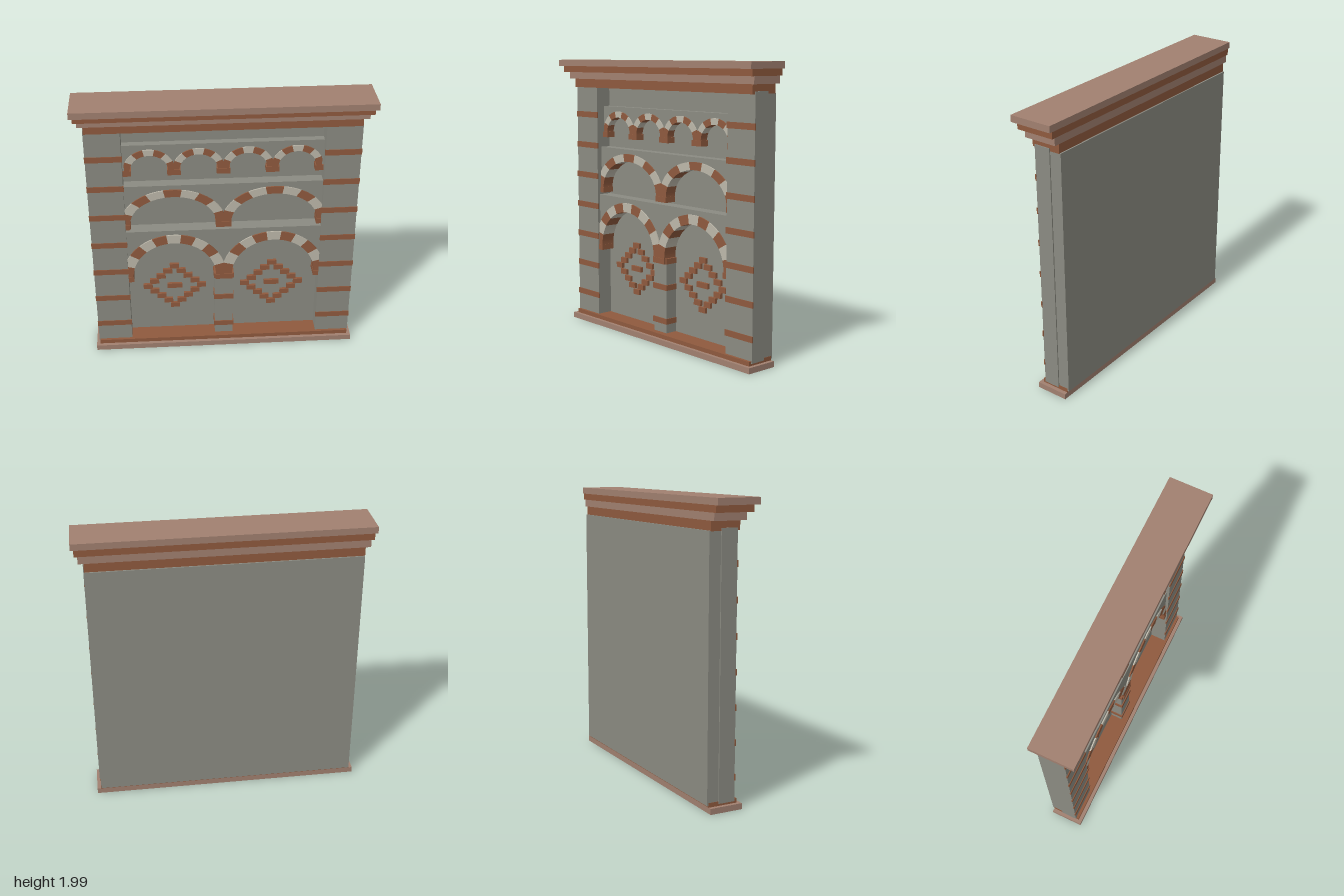
import * as THREE from 'three';

const mat = (name, color) => {
  const m = new THREE.MeshStandardMaterial({ color });
  m.name = name;
  return m;
};

export function createModel() {
  const model = new THREE.Group();
  model.name = 'arcadedWall';
  const grey = mat('greyPlaster', 0x8b8b82);
  const brick = mat('redBrick', 0x8f5a3e);
  const stone = mat('pinkStone', 0xa18070);
  const pale = mat('paleStone', 0xbdb8aa);

  const WALL = -0.075; // front face of the recessed wall
  const BACK = -0.147; // back of cornice and plinth

  // Box given by its limits on each axis
  const box = (name, m, x0, x1, y0, y1, z0, z1, parent = model) => {
    const mesh = new THREE.Mesh(new THREE.BoxGeometry(x1 - x0, y1 - y0, z1 - z0), m);
    mesh.position.set((x0 + x1) / 2, (y0 + y1) / 2, (z0 + z1) / 2);
    mesh.name = name;
    parent.add(mesh);
  };

  // Flat shape extruded from the recessed wall to a front depth
  const slab = (name, m, points, front, parent) => {
    const geo = new THREE.ExtrudeGeometry(new THREE.Shape(points), {
      depth: front - WALL + 0.005, bevelEnabled: false,
    });
    const mesh = new THREE.Mesh(geo, m);
    mesh.position.z = WALL - 0.005;
    mesh.name = name;
    parent.add(mesh);
  };

  // Back wall
  box('backWall', grey, -0.92, 0.92, 0.05, 1.79, -0.157, WALL);

  // Plinth and stepped cornice: half width, bottom, top, front depth
  [
    ['plinthFoot', stone, 0.948, 0, 0.04, 0.085],
    ['plinthTop', brick, 0.922, 0.04, 0.07, 0.06],
    ['corniceBase', brick, 0.922, 1.787, 1.85, 0.06],
    ['corniceLower', stone, 0.958, 1.85, 1.9, 0.085],
    ['corniceMiddle', brick, 0.98, 1.9, 1.945, 0.125],
    ['corniceTop', stone, 1, 1.945, 1.99, 0.157],
  ].forEach(([name, m, w, y0, y1, z]) => box(name, m, -w, w, y0, y1, BACK, z));

  // Side piers with thin brick bands
  for (const s of [-1, 1]) {
    const span = (a, b) => (s > 0 ? [a, b] : [-b, -a]);
    box('pier', grey, ...span(0.685, 0.928), 0.055, 1.805, WALL, 0.04);
    for (let i = 0; i < 7; i++) {
      const y = 0.215 + i * 0.2283;
      box('pierBand', brick, ...span(0.68, 0.931), y - 0.021, y + 0.021, 0.036, 0.045);
    }
  }

  // One storey of arches: spandrel panel, striped arch rings and corbels
  const arcade = (o) => {
    const g = new THREE.Group();
    g.name = o.name;
    model.add(g);
    const centres = [];
    for (let i = 0; i < o.count; i++) centres.push((i - (o.count - 1) / 2) * o.pitch);
    const at = (cx, rx, ry, a, limit = 9) => new THREE.Vector2(
      cx + THREE.MathUtils.clamp(rx * Math.cos(a), -limit, limit),
      o.spring + ry * Math.sin(a));

    // Spandrel outline, cut along the middle of each ring
    const outline = [new THREE.Vector2(0.687, o.spring), new THREE.Vector2(0.687, o.top),
      new THREE.Vector2(-0.687, o.top), new THREE.Vector2(-0.687, o.spring)];
    for (const cx of centres) {
      for (let k = 0; k <= 32; k++) {
        outline.push(at(cx, (o.rx + o.Rx) / 2, (o.ry + o.Ry) / 2, Math.PI * (1 - k / 32)));
      }
    }
    slab('spandrel', grey, outline, o.front, g);

    // Alternating voussoirs
    for (const cx of centres) {
      for (let i = 0; i < o.stones; i++) {
        const a0 = (Math.PI * i) / o.stones, da = Math.PI / o.stones / 6;
        const pts = [];
        for (let k = 0; k <= 6; k++) pts.push(at(cx, o.Rx, o.Ry, a0 + k * da, o.pitch / 2));
        for (let k = 6; k >= 0; k--) pts.push(at(cx, o.rx, o.ry, a0 + k * da));
        slab('voussoir', i % 2 ? pale : brick, pts, o.front + 0.009, g);
      }
    }

    // Corbels under the arch springings
    for (let i = 0; i <= o.count; i++) {
      const x = (i - o.count / 2) * o.pitch;
      const x0 = i === 0 ? -0.69 : x - o.corbel;
      const x1 = i === o.count ? 0.69 : x + o.corbel;
      box('corbel', brick, x0, x1, o.spring - 0.04, o.spring, WALL - 0.005, o.front + 0.013, g);
    }
  };

  arcade({ name: 'lowerArcade', count: 2, pitch: 0.706, spring: 0.61, top: 0.99, front: 0.02,
    rx: 0.296, Rx: 0.37, ry: 0.28, Ry: 0.347, stones: 11, corbel: 0.06 });
  arcade({ name: 'middleArcade', count: 2, pitch: 0.706, spring: 1.045, top: 1.347, front: 0.002,
    rx: 0.3, Rx: 0.368, ry: 0.215, Ry: 0.27, stones: 9, corbel: 0.055 });
  arcade({ name: 'upperArcade', count: 4, pitch: 0.337, spring: 1.46, top: 1.65, front: -0.025,
    rx: 0.13, Rx: 0.178, ry: 0.112, Ry: 0.156, stones: 7, corbel: 0.046 });

  // Central pillar with brick bands
  box('pillar', grey, -0.066, 0.066, 0.06, 0.59, WALL, 0.015);
  for (const y of [0.155, 0.4, 0.59]) {
    box('pillarBand', brick, -0.072, 0.072, y - 0.02, y + 0.02, WALL, 0.022);
  }

  // Brick diamonds on the recessed wall
  for (const cx of [-0.355, 0.355]) {
    const g = new THREE.Group();
    g.name = 'brickDiamond';
    g.position.set(cx, 0.459, 0);
    model.add(g);
    const put = (x, y, w) => box('diamondBrick', brick,
      x - w, x + w, y - 0.019, y + 0.019, WALL - 0.005, WALL + 0.02, g);
    put(0, 0, 0.054);
    for (let r = -4; r <= 4; r++) {
      const x = (4 - Math.abs(r)) * 0.049;
      put(x, r * 0.0436, 0.033);
      if (x > 0) put(-x, r * 0.0436, 0.033);
    }
  }

  return model;
}
